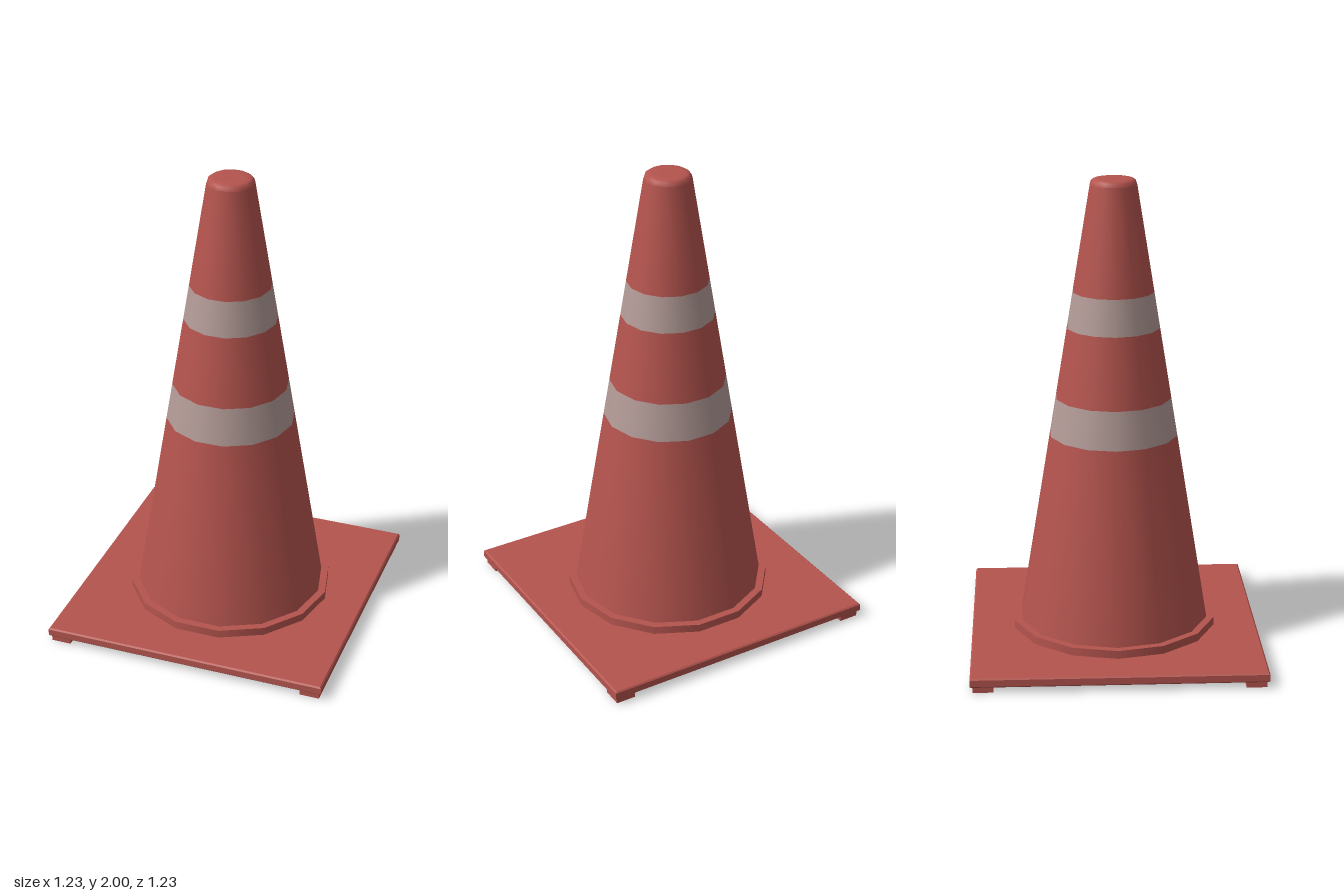
import * as THREE from 'three';

const red = new THREE.MeshStandardMaterial({ color: 0xb5544e });
red.name = 'cone red';
const grey = new THREE.MeshStandardMaterial({ color: 0xb39b97 });
grey.name = 'stripe grey';

const SIDES = 14;
// Radius of the tapering body at height y
const radiusAt = (y) => THREE.MathUtils.mapLinear(y, 0.1, 1.98, 0.408, 0.098);

export function createModel() {
  const model = new THREE.Group();
  model.name = 'trafficCone';

  const add = (name, geometry, material, x = 0, y = 0, z = 0) => {
    const mesh = new THREE.Mesh(geometry, material);
    mesh.name = name;
    mesh.position.set(x, y, z);
    model.add(mesh);
  };
  const lathe = (points) => new THREE.LatheGeometry(
    points.map(([r, y]) => new THREE.Vector2(r, y)), SIDES, Math.PI / 2);

  // Square base plate with a fine bevel
  const half = 0.607;
  const square = new THREE.Shape([
    new THREE.Vector2(-half, -half), new THREE.Vector2(half, -half),
    new THREE.Vector2(half, half), new THREE.Vector2(-half, half),
  ]);
  const plate = new THREE.ExtrudeGeometry(square, {
    depth: 0.028, bevelThickness: 0.006, bevelSize: 0.006, bevelSegments: 1,
  });
  plate.rotateX(-Math.PI / 2);
  add('basePlate', plate, red, 0, 0.031, 0);

  // Feet under the four corners
  for (const x of [-1, 1]) {
    for (const z of [-1, 1]) {
      add('foot', new THREE.BoxGeometry(0.085, 0.026, 0.085), red, x * 0.56, 0.013, z * 0.56);
    }
  }

  // Collar where the body meets the plate
  add('collarSide', lathe([[0.44, 0.06], [0.44, 0.1]]), red);
  add('collarTop', lathe([[0.44, 0.1], [0.4, 0.1]]), red);

  // Tapering body, split into bands for the two stripes
  const levels = [0.1, 0.915, 1.077, 1.378, 1.53, 1.975];
  for (let i = 0; i < levels.length - 1; i++) {
    const [low, high] = [levels[i], levels[i + 1]];
    const stripe = i % 2 === 1;
    add(stripe ? 'stripe' : 'bodyBand',
      lathe([[radiusAt(low), low], [radiusAt(high), high]]), stripe ? grey : red);
  }

  // Rounded tip
  add('tip', lathe([[radiusAt(1.975), 1.975], [0.094, 1.99], [0.083, 1.998], [0.06, 2], [0, 2]]), red);

  return model;
}
